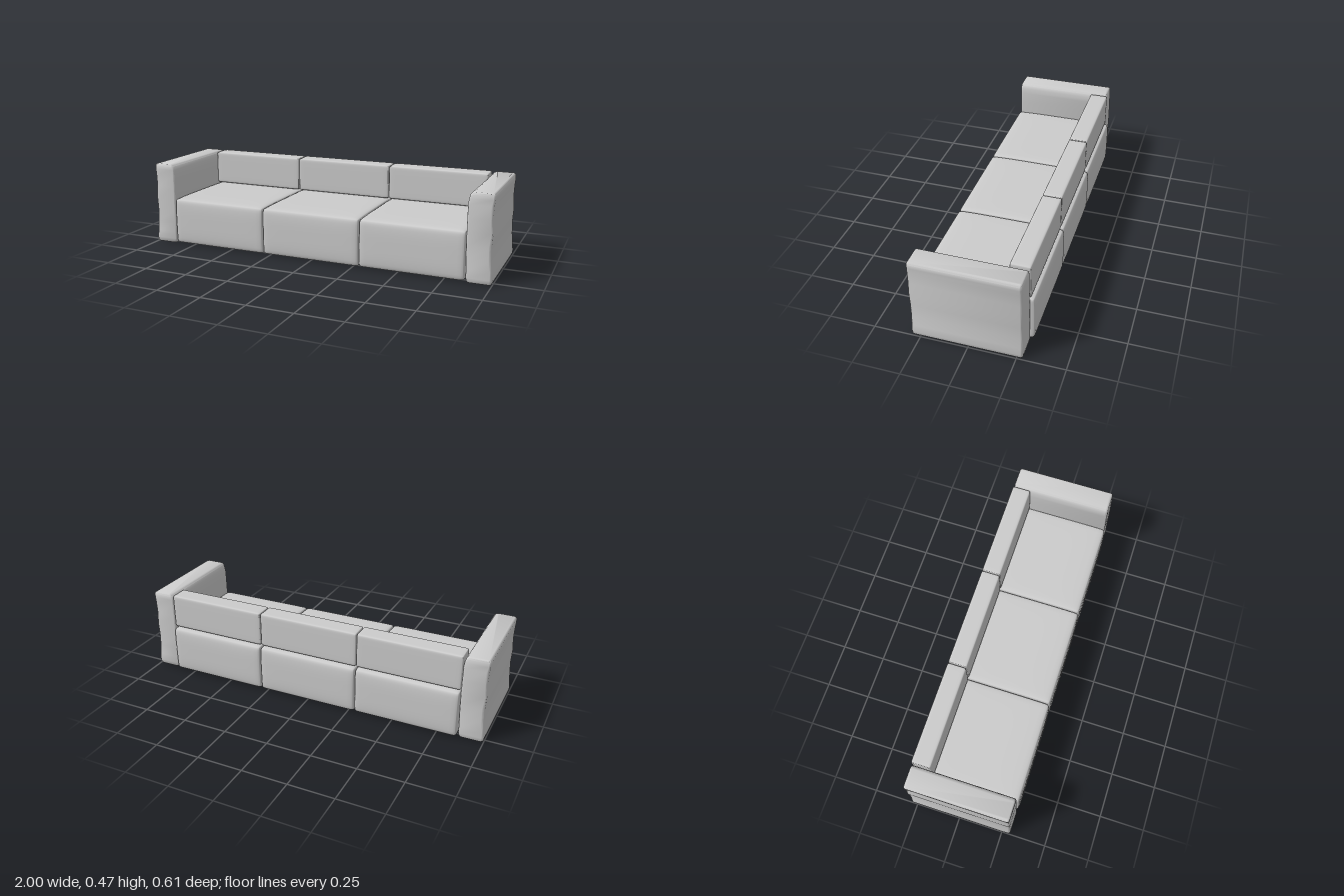
import * as THREE from 'three';
import { mergeVertices, toCreasedNormals } from 'three/addons/utils/BufferGeometryUtils.js';

const material = new THREE.MeshStandardMaterial({ color: 0xcccccc });
const openMaterial = new THREE.MeshStandardMaterial({ color: 0xcccccc, side: THREE.DoubleSide });

// Soft block: a finely divided box with rounded edges and slightly swollen faces
function cushionGeometry(w, h, d, r, swell) {
  const n = 18;
  let geo = new THREE.BoxGeometry(2, 2, 2, n, n, n);
  geo.deleteAttribute('normal');
  geo.deleteAttribute('uv');
  geo = mergeVertices(geo);
  const half = new THREE.Vector3(w / 2, h / 2 - swell, d / 2 - swell);
  const core = half.clone().subScalar(r);
  const pos = geo.attributes.position;
  const p = new THREE.Vector3(), c = new THREE.Vector3();
  for (let i = 0; i < pos.count; i++) {
    p.fromBufferAttribute(pos, i);
    // crowd the grid towards the edges, where the rounding is
    for (const k of ['x', 'y', 'z']) p[k] = Math.sin(p[k] * Math.PI / 2) * half[k];
    c.copy(p).clamp(core.clone().negate(), core);
    p.sub(c).setLength(r).add(c);
    const u = p.x / half.x, v = p.y / half.y, t = p.z / half.z;
    const across = 1 - 0.4 * u ** 6;
    p.y += v * swell * (1 - t ** 4) * across;
    p.z += t * swell * (1 - v ** 4) * across;
    pos.setXYZ(i, p.x, p.y, p.z);
  }
  geo.computeVertexNormals();
  return geo;
}

// Rounded rectangle in the ground plane, as a loop of points
function ring([y, x0, x1, z0, z1, r]) {
  const pts = [];
  const corners = [[x1 - r, z1 - r], [x0 + r, z1 - r], [x0 + r, z0 + r], [x1 - r, z0 + r]];
  corners.forEach(([cx, cz], q) => {
    for (let i = 0; i <= 4; i++) {
      const a = (q + i / 4) * Math.PI / 2;
      pts.push([cx + r * Math.cos(a), y, cz + r * Math.sin(a)]);
    }
  });
  return pts;
}

// Skin stacked rings from bottom to top; the last one is capped
function loft(rings) {
  const loops = rings.map(ring), n = loops[0].length, index = [];
  for (let j = 0; j < loops.length - 1; j++) {
    for (let i = 0; i < n; i++) {
      const a = j * n + i, b = j * n + (i + 1) % n;
      index.push(a, a + n, b, b, a + n, b + n);
    }
  }
  const top = (loops.length - 1) * n;
  for (let i = 1; i < n - 1; i++) index.push(top, top + i + 1, top + i);
  const geo = new THREE.BufferGeometry();
  geo.setAttribute('position', new THREE.Float32BufferAttribute(loops.flat(2), 3));
  geo.setIndex(index);
  return toCreasedNormals(geo, 0.75);
}

// Left arm: hollow shell, open underneath, with a narrow turned-in rim
function armGeometry() {
  return loft([
    // y, inner x, outer x, back z, front z, corner radius
    [0.012, 0.89, 0.972, -0.255, 0.27, 0.006],
    [0.003, 0.884, 0.98, -0.265, 0.28, 0.008],
    [0.004, 0.874, 0.992, -0.276, 0.29, 0.01],
    [0.012, 0.868, 0.998, -0.281, 0.295, 0.012],
    [0.03, 0.864, 1.0, -0.283, 0.297, 0.013],
    [0.07, 0.865, 0.996, -0.282, 0.297, 0.013],
    [0.13, 0.862, 0.991, -0.281, 0.296, 0.013],
    [0.2, 0.861, 0.989, -0.28, 0.296, 0.013],
    [0.27, 0.86, 0.993, -0.28, 0.296, 0.013],
    [0.34, 0.86, 0.988, -0.279, 0.295, 0.013],
    [0.41, 0.86, 0.991, -0.279, 0.293, 0.013],
    [0.44, 0.864, 0.994, -0.279, 0.291, 0.013],
    [0.46, 0.87, 0.994, -0.278, 0.29, 0.012],
    [0.468, 0.877, 0.99, -0.275, 0.287, 0.01],
    [0.472, 0.887, 0.982, -0.27, 0.28, 0.008],
  ]);
}

export function createModel() {
  const sofa = new THREE.Group();
  sofa.name = 'sofa';
  const add = (name, geo, x, y, z, mat = material) => {
    const mesh = new THREE.Mesh(geo, mat);
    mesh.name = name;
    mesh.position.set(x, y, z);
    sofa.add(mesh);
    return mesh;
  };

  // Three seat blocks, each with a back cushion standing on its rear edge
  const seat = cushionGeometry(0.571, 0.277, 0.612, 0.016, 0.008);
  const back = cushionGeometry(0.571, 0.194, 0.109, 0.01, 0.001);
  ['right', 'middle', 'left'].forEach((side, i) => {
    const x = (i - 1) * 0.574;
    add(side + 'Seat', seat, x, 0.1405, 0);
    add(side + 'Back', back, x, 0.376, -0.229);
  });

  // Arms, the right one with its inner and outer sides swapped by a half turn
  const arm = armGeometry();
  add('leftArm', arm, 0, 0, 0, openMaterial);
  add('rightArm', arm, 0, 0, 0.014, openMaterial).rotation.y = Math.PI;
  return sofa;
}
